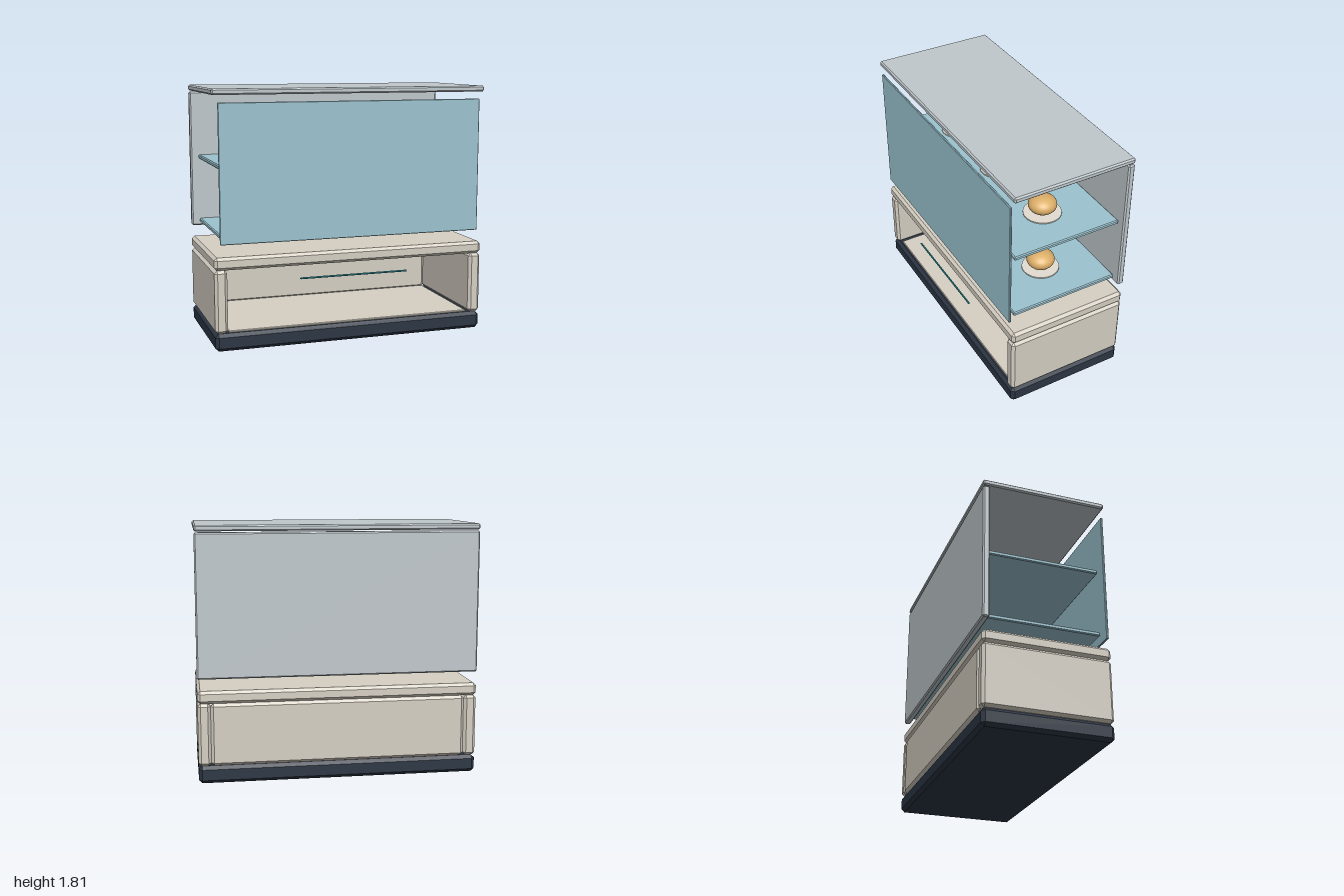
import * as THREE from 'three';
import { ConvexGeometry } from 'three/addons/geometries/ConvexGeometry.js';

const material = (color) => new THREE.MeshStandardMaterial({ color });
const cream = material(0xd6d0c4);
const navy = material(0x2c3644);
const steel = material(0xc0c8cc);
const glass = material(0x9cc4d0);
const teal = material(0x2a9aa2);
const crust = material(0xdcae68);
const china = material(0xe4ddd2);

// Box with flat chamfers, given by its limits on each axis
function chamferBox(name, mat, [x0, x1], [y0, y1], [z0, z1], bevel) {
  const h = [(x1 - x0) / 2, (y1 - y0) / 2, (z1 - z0) / 2];
  const points = [];
  for (const sx of [-1, 1]) for (const sy of [-1, 1]) for (const sz of [-1, 1]) {
    for (let full = 0; full < 3; full++) {
      const d = h.map((v, i) => (i === full ? v : v - bevel));
      points.push(new THREE.Vector3(sx * d[0], sy * d[1], sz * d[2]));
    }
  }
  const mesh = new THREE.Mesh(new ConvexGeometry(points), mat);
  mesh.name = name;
  mesh.position.set((x0 + x1) / 2, (y0 + y1) / 2, (z0 + z1) / 2);
  return mesh;
}

// Bun resting on a thin round plate
function servedBun(x, y) {
  const group = new THREE.Group();
  group.name = 'servedBun';
  const plate = new THREE.Mesh(new THREE.CylinderGeometry(0.133, 0.133, 0.008, 32), china);
  plate.name = 'plate';
  plate.position.y = 0.004;
  const bun = new THREE.Mesh(new THREE.SphereGeometry(0.1, 32, 20), crust);
  bun.name = 'bun';
  bun.scale.y = 0.66;
  bun.position.y = 0.072;
  group.add(plate, bun);
  group.position.set(x, y, -0.007);
  return group;
}

export function createModel() {
  const model = new THREE.Group();
  model.name = 'displayCounter';
  const wide = [-1, 1];
  const deep = [-0.457, 0.443];

  // Lower cabinet, open at the front
  model.add(chamferBox('plinth', navy, wide, [0, 0.125], deep, 0.024));
  for (const [name, x] of [['leftSide', [0.91, 1]], ['rightSide', [-1, -0.91]]]) {
    model.add(chamferBox(name, cream, x, [0.127, 0.572], deep, 0.02));
  }
  model.add(chamferBox('cabinetBack', cream, [-0.91, 0.91], [0.127, 0.572], [-0.457, -0.395], 0.02));
  model.add(chamferBox('cabinetFloor', cream, [-0.9, 0.9], [0.124, 0.138], [-0.42, 0.41], 0.004));
  model.add(chamferBox('countertop', cream, wide, [0.572, 0.662], deep, 0.02));
  model.add(chamferBox('handle', teal, [-0.4, 0.4], [0.48, 0.492], [0.454, 0.466], 0.003));

  // Upper display case
  model.add(chamferBox('caseBack', steel, wide, [0.747, 1.757], [-0.457, -0.408], 0.01));
  model.add(chamferBox('caseTop', steel, wide, [1.765, 1.807], deep, 0.01));
  model.add(chamferBox('frontGlass', glass, [-0.96, 0.96], [0.752, 1.715], [0.435, 0.451], 0.004));

  // Shelves with a row of buns on each
  for (const top of [0.803, 1.286]) {
    model.add(chamferBox('shelf', glass, [-0.94, 0.94], [top - 0.031, top], [-0.408, 0.4], 0.007));
    for (const x of [-0.61, 0, 0.61]) model.add(servedBun(x, top));
  }
  return model;
}
